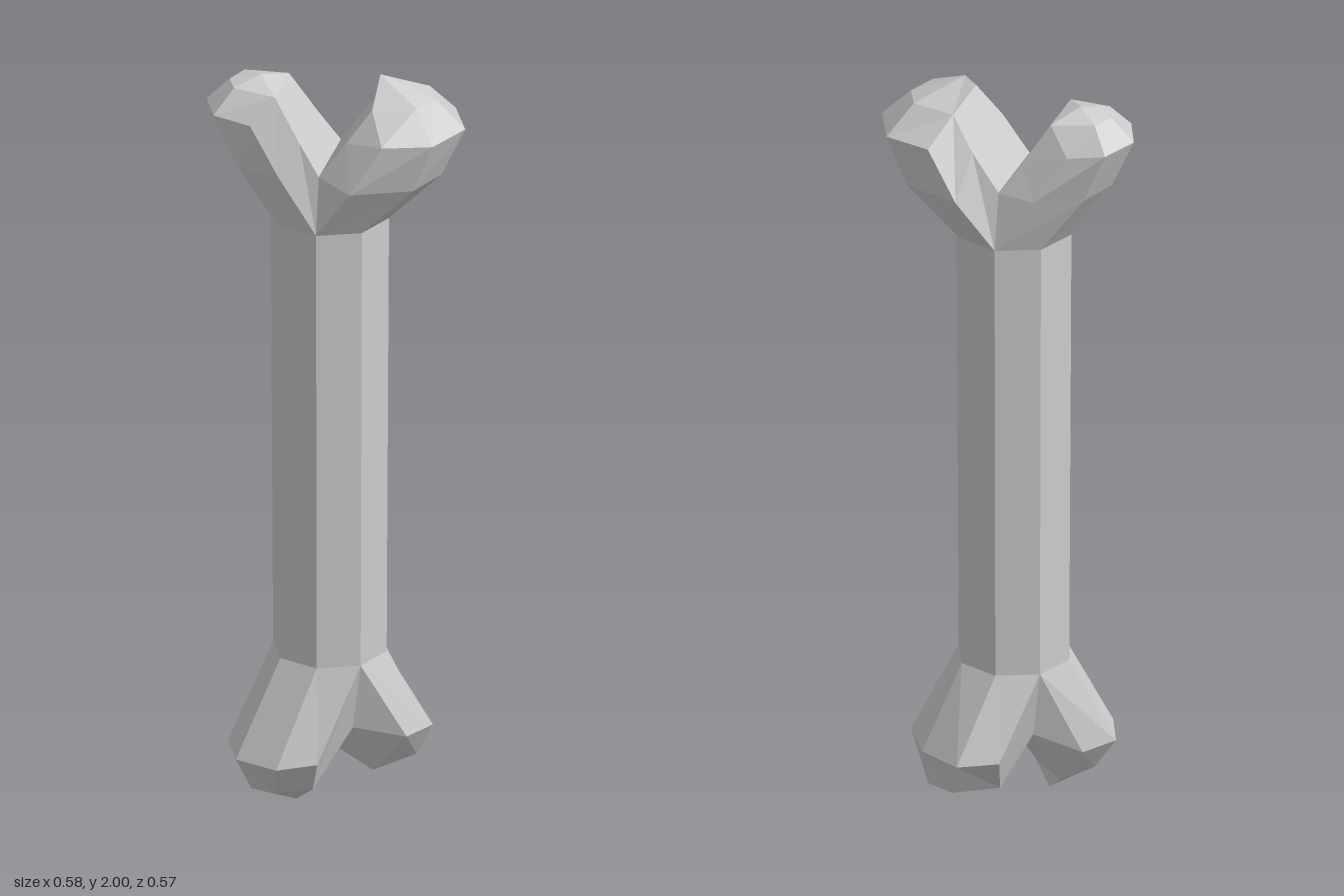
import * as THREE from 'three';

// Half ring given as [u, w, y] from the valley point round to the outermost point;
// the other half is its mirror in w.
function fullRing(half) {
  const mirrored = half.slice(0, 3).reverse().map(([u, w, y]) => [u, -w, y]);
  return [...half, ...mirrored].map(([u, w, y]) => new THREE.Vector3(u, y, w));
}

// Lofts the rings of one knob and closes it with a fan to the peak.
function knobGeometry(halfRings, peak, flip) {
  const rings = halfRings.map(fullRing);
  const tip = new THREE.Vector3(...peak);
  const pos = [];
  const tri = (a, b, c) => {
    if (a.equals(b) || b.equals(c) || c.equals(a)) return;
    for (const p of flip ? [a, c, b] : [a, b, c]) pos.push(p.x, p.y, p.z);
  };
  const n = 7;
  for (let r = 0; r < rings.length; r++) {
    const a = rings[r], b = rings[r + 1];
    for (let i = 0; i < n; i++) {
      const j = (i + 1) % n;
      if (b) {
        tri(a[i], a[j], b[j]);
        tri(a[i], b[j], b[i]);
      } else tri(a[i], a[j], tip);
    }
  }
  const g = new THREE.BufferGeometry();
  g.setAttribute('position', new THREE.Float32BufferAttribute(pos, 3));
  g.computeVertexNormals();
  return g;
}

// Half of the octagonal shaft end, with the raised valley between the knobs.
const root = (r, y, valleyW, valleyY) =>
  [[0, valleyW, valleyY], [0, r, y], [r * Math.SQRT1_2, r * Math.SQRT1_2, y], [r, 0, y]];

export function createModel() {
  const bone = new THREE.MeshStandardMaterial({ color: 0xcccccc, flatShading: true });
  bone.name = 'boneGrey';
  const model = new THREE.Group();
  model.name = 'bone';
  const body = new THREE.Group();
  body.name = 'boneBody';
  body.position.set(-0.015, 0, -0.015);
  model.add(body);

  const add = (name, geometry, angle = 0) => {
    const mesh = new THREE.Mesh(geometry, bone);
    mesh.name = name;
    mesh.rotation.y = angle;
    body.add(mesh);
    return mesh;
  };

  // Eight-sided shaft
  const top = 0.154, bottom = 0.148;
  add('shaft', new THREE.CylinderGeometry(top, bottom, 1.2, 8, 1, true)).position.y = 1;

  // Upper fork, on the diagonal
  const upperRoot = root(top, 1.6, 0.124, 1.75);
  add('upperLargeKnob', knobGeometry([
    upperRoot,
    [[0.071, 0.12, 1.85], [0.094, 0.186, 1.735], [0.246, 0.122, 1.735], [0.292, 0, 1.735]],
    [[0.132, 0.092, 1.935], [0.174, 0.168, 1.865], [0.298, 0.129, 1.865], [0.353, 0, 1.865]],
    [[0.132, 0.092, 1.935], [0.132, 0.092, 1.935], [0.243, 0.075, 1.943], [0.276, 0, 1.94]],
  ], [0.134, 2.0, 0.01]), -Math.PI / 4);
  add('upperSmallKnob', knobGeometry([
    upperRoot,
    [[0.055, 0.105, 1.83], [0.1, 0.142, 1.745], [0.22, 0.1, 1.75], [0.262, 0, 1.755]],
    [[0.125, 0.08, 1.94], [0.181, 0.116, 1.87], [0.279, 0.104, 1.885], [0.321, 0, 1.885]],
    [[0.125, 0.08, 1.94], [0.125, 0.08, 1.94], [0.236, 0.06, 1.947], [0.261, 0, 1.945]],
  ], [0.18, 1.965, 0]), Math.PI * 0.75);

  // Lower fork, along x
  const lowerRoot = root(bottom, 0.4, 0.11, 0.215);
  add('lowerLeftKnob', knobGeometry([
    lowerRoot,
    [[0.079, 0.08, 0.068], [0.125, 0.168, 0.182], [0.227, 0.13, 0.178], [0.26, 0, 0.175]],
    [[0.079, 0.08, 0.068], [0.079, 0.08, 0.068], [0.212, 0.075, 0.08], [0.243, 0, 0.082]],
  ], [0.15, 0.068, 0], true));
  add('lowerRightKnob', knobGeometry([
    lowerRoot,
    [[0.095, 0.07, 0.05], [0.125, 0.14, 0.15], [0.232, 0.115, 0.15], [0.281, 0, 0.15]],
    [[0.095, 0.07, 0.05], [0.095, 0.07, 0.05], [0.2, 0.06, 0.06], [0.235, 0, 0.06]],
  ], [0.1, 0.0, 0], true), Math.PI);

  return model;
}
